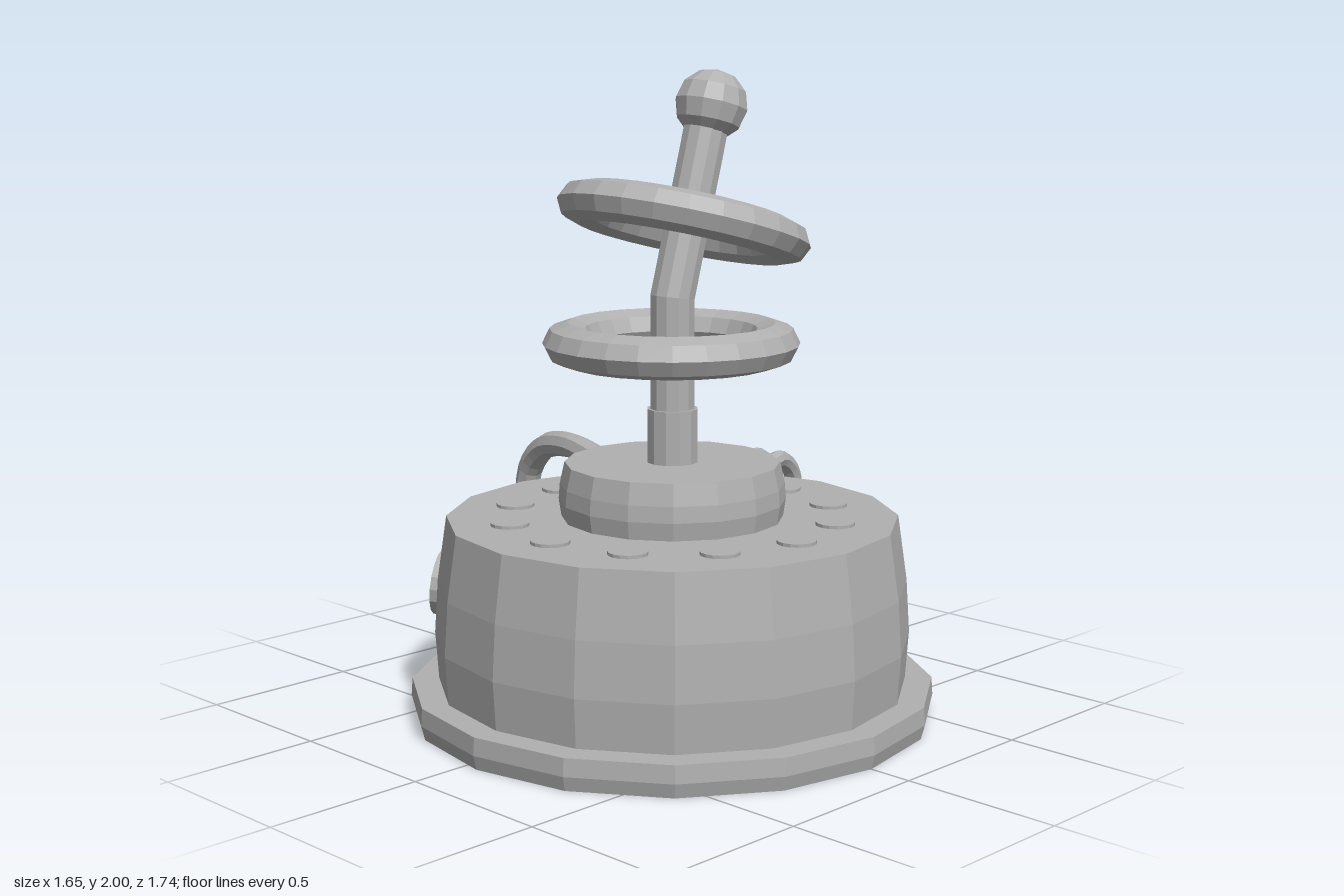
import * as THREE from 'three';

const grey = new THREE.MeshStandardMaterial({ color: 0xb0b0b0 });
grey.name = 'metal grey';

// Mesh with one normal per face
function part(name, geometry) {
  const flat = geometry.index ? geometry.toNonIndexed() : geometry;
  flat.computeVertexNormals();
  const mesh = new THREE.Mesh(flat, grey);
  mesh.name = name;
  return mesh;
}

const lathe = (name, profile, sides = 16) =>
  part(name, new THREE.LatheGeometry(profile.map(([r, y]) => new THREE.Vector2(r, y)), sides));

// Tube bent in the x-y plane, with its ends buried in other parts
const bentTube = (name, points, radius, steps) => part(name, new THREE.TubeGeometry(
  new THREE.CatmullRomCurve3(points.map(([x, y]) => new THREE.Vector3(x, y, 0))), steps, radius, 8));

// Ring with a slightly flattened tube
function ring(name) {
  const g = new THREE.TorusGeometry(0.32, 0.077, 8, 24);
  g.rotateX(Math.PI / 2);
  g.scale(1, 0.84, 1);
  return part(name, g);
}

export function createModel() {
  const model = new THREE.Group();
  model.name = 'device';
  const body = new THREE.Group();
  body.name = 'body';
  body.position.z = 0.05;
  model.add(body);

  // Stepped base
  body.add(
    lathe('basePlate', [[0, 0], [0.812, 0], [0.824, 0.045], [0.82, 0.1], [0, 0.1]]),
    lathe('drum', [[0, 0.09], [0.735, 0.09], [0.746, 0.25], [0.735, 0.42], [0.705, 0.625], [0, 0.625]]),
    lathe('collar', [[0, 0.62], [0.345, 0.62], [0.354, 0.68], [0.35, 0.73], [0.335, 0.797], [0, 0.797]]),
    lathe('shaftSocket', [[0, 0.79], [0.08, 0.79], [0.08, 0.965], [0, 0.965]], 12)
  );

  // Shaft: straight below, leaning towards +x above a mitred bend
  const lean = 0.28;
  const shaft = new THREE.CylinderGeometry(0.07, 0.07, 1, 12, 2);
  const p = shaft.attributes.position;
  for (let i = 0; i < p.count; i++) {
    const x = p.getX(i), level = Math.round(p.getY(i) * 2);
    if (level < 0) p.setY(i, 0.9);
    else if (level === 0) p.setY(i, 1.31 - x * Math.tan(lean / 2));
    else p.setXY(i, 0.165 + x * Math.cos(lean), 1.885 - x * Math.sin(lean));
  }
  body.add(part('shaft', shaft));

  // Knob
  const knob = part('knob', new THREE.SphereGeometry(0.115, 12, 6));
  knob.scale.y = 0.96;
  knob.position.set(0.17, 1.89, 0);
  knob.rotation.z = -lean;
  body.add(knob);

  // Floating rings
  const lowerRing = ring('lowerRing');
  lowerRing.position.set(-0.005, 1.17, 0);
  const upperRing = ring('upperRing');
  upperRing.position.set(0.05, 1.535, 0);
  upperRing.rotation.z = -lean;
  body.add(lowerRing, upperRing);

  // Studs around the top of the drum
  for (let i = 0; i < 12; i++) {
    const a = i * Math.PI / 6;
    const stud = part('topStud', new THREE.CylinderGeometry(0.06, 0.06, 0.03, 16));
    stud.position.set(0.515 * Math.cos(a), 0.62, 0.515 * Math.sin(a));
    body.add(stud);
  }

  // Round ports centred on three of the rear wall panels
  const step = Math.PI / 8;
  [0.5, -0.5, -1.5].forEach((k, i) => {
    const port = new THREE.Group();
    port.name = i ? 'rearPort' : 'hosePort';
    port.rotation.y = Math.PI / 2 - k * step;
    const disc = part('portDisc', new THREE.CylinderGeometry(0.105, 0.105, 0.09, 16));
    disc.rotation.z = -Math.PI / 2 + 0.1;
    disc.position.set(i ? 0.715 : 0.728, 0.37, 0);
    port.add(disc);
    body.add(port);
  });

  // Hose from the collar down to its port
  const hose = bentTube('hose', [[0.3, 0.71], [0.45, 0.733], [0.61, 0.748], [0.77, 0.715],
    [0.87, 0.62], [0.885, 0.52], [0.85, 0.41], [0.79, 0.365], [0.72, 0.36]], 0.043, 24);
  hose.rotation.y = Math.PI / 2 - step / 2;
  body.add(hose);

  // Pair of cable loops over the drum's left edge
  const loops = new THREE.Group();
  loops.name = 'cableLoops';
  loops.rotation.y = step / 2;
  for (const side of [-1, 1]) {
    const loop = bentTube('cableLoop', [[0.515, 0.58], [0.545, 0.645], [0.6, 0.68], [0.66, 0.69],
      [0.73, 0.645], [0.76, 0.57], [0.745, 0.5], [0.70, 0.46]], 0.029, 16);
    loop.position.z = side * 0.044;
    loops.add(loop);
  }
  model.add(loops);

  return model;
}
